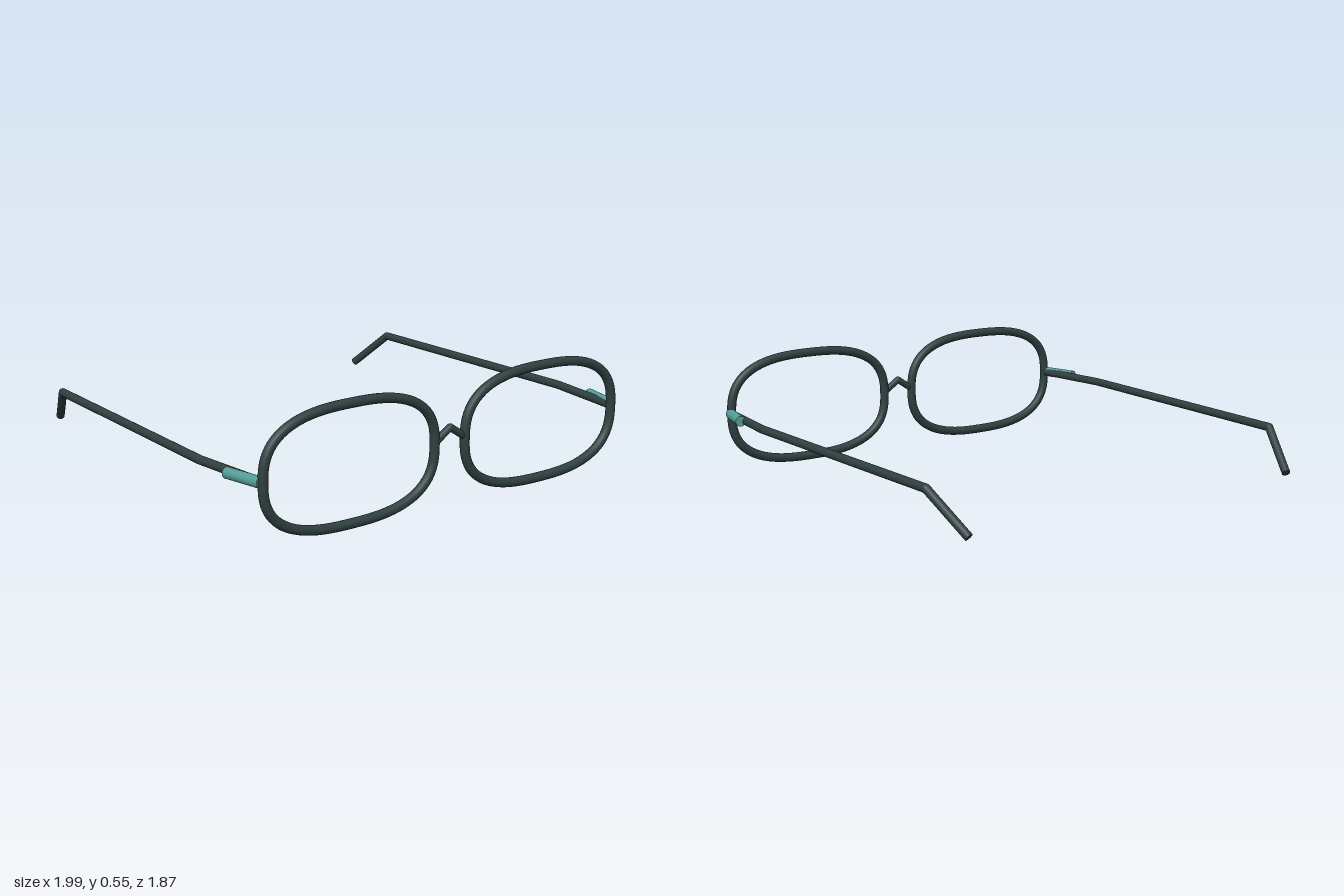
import * as THREE from 'three';

const V = (x, y, z) => new THREE.Vector3(x, y, z);

// Closed rounded-rectangle loop (superellipse) for the rims
class RimCurve extends THREE.Curve {
  getPoint(t, target = new THREE.Vector3()) {
    const a = t * Math.PI * 2, e = 2 / 2.65;
    const c = Math.cos(a), s = Math.sin(a);
    return target.set(
      0.422 * Math.sign(c) * Math.abs(c) ** e,
      0.252 * Math.sign(s) * Math.abs(s) ** e, 0);
  }
}

// Straight rod between two points
function rod(a, b, radius, material, name) {
  const d = b.clone().sub(a);
  const mesh = new THREE.Mesh(new THREE.CylinderGeometry(radius, radius, d.length(), 20), material);
  mesh.position.copy(a).add(b).multiplyScalar(0.5);
  mesh.quaternion.setFromUnitVectors(V(0, 1, 0), d.normalize());
  mesh.name = name;
  return mesh;
}

// Bent wire: rods joined by round elbows
function wire(points, radius, material, name) {
  const group = new THREE.Group();
  group.name = name;
  for (let i = 1; i < points.length; i++) {
    group.add(rod(points[i - 1], points[i], radius, material, name + 'Rod'));
    if (i < points.length - 1) {
      const elbow = new THREE.Mesh(new THREE.SphereGeometry(radius, 20, 14), material);
      elbow.position.copy(points[i]);
      elbow.name = name + 'Elbow';
      group.add(elbow);
    }
  }
  return group;
}

export function createModel() {
  const frame = new THREE.MeshStandardMaterial({ color: 0x2f3f3f });
  frame.name = 'dark frame';
  const teal = new THREE.MeshStandardMaterial({ color: 0x549c96 });
  teal.name = 'teal hinge';

  const model = new THREE.Group();
  model.name = 'eyeglasses';
  const rimGeometry = new THREE.TubeGeometry(new RimCurve(), 128, 0.021, 16, true);

  for (const [s, side] of [[1, 'left'], [-1, 'right']]) {
    // Lens rim
    const rim = new THREE.Mesh(rimGeometry, frame);
    rim.position.set(s * 0.5025, 0.273, 0.915);
    rim.name = side + 'Rim';
    model.add(rim);

    // Hinge sleeve
    model.add(rod(V(s * 0.932, 0.277, 0.91), V(s * 0.974, 0.277, 0.73), 0.024, teal, side + 'Hinge'));

    // Temple arm with the bent ear tip
    model.add(wire([
      V(s * 0.925, 0.276, 0.915), V(s * 0.97, 0.274, 0.53),
      V(s * 0.94, 0.258, -0.735), V(s * 0.867, 0.09, -0.92),
    ], 0.019, frame, side + 'Temple'));
  }

  // Nose bridge
  model.add(wire([V(-0.08, 0.282, 0.915), V(0, 0.335, 0.915), V(0.08, 0.282, 0.915)], 0.016, frame, 'bridge'));
  return model;
}
